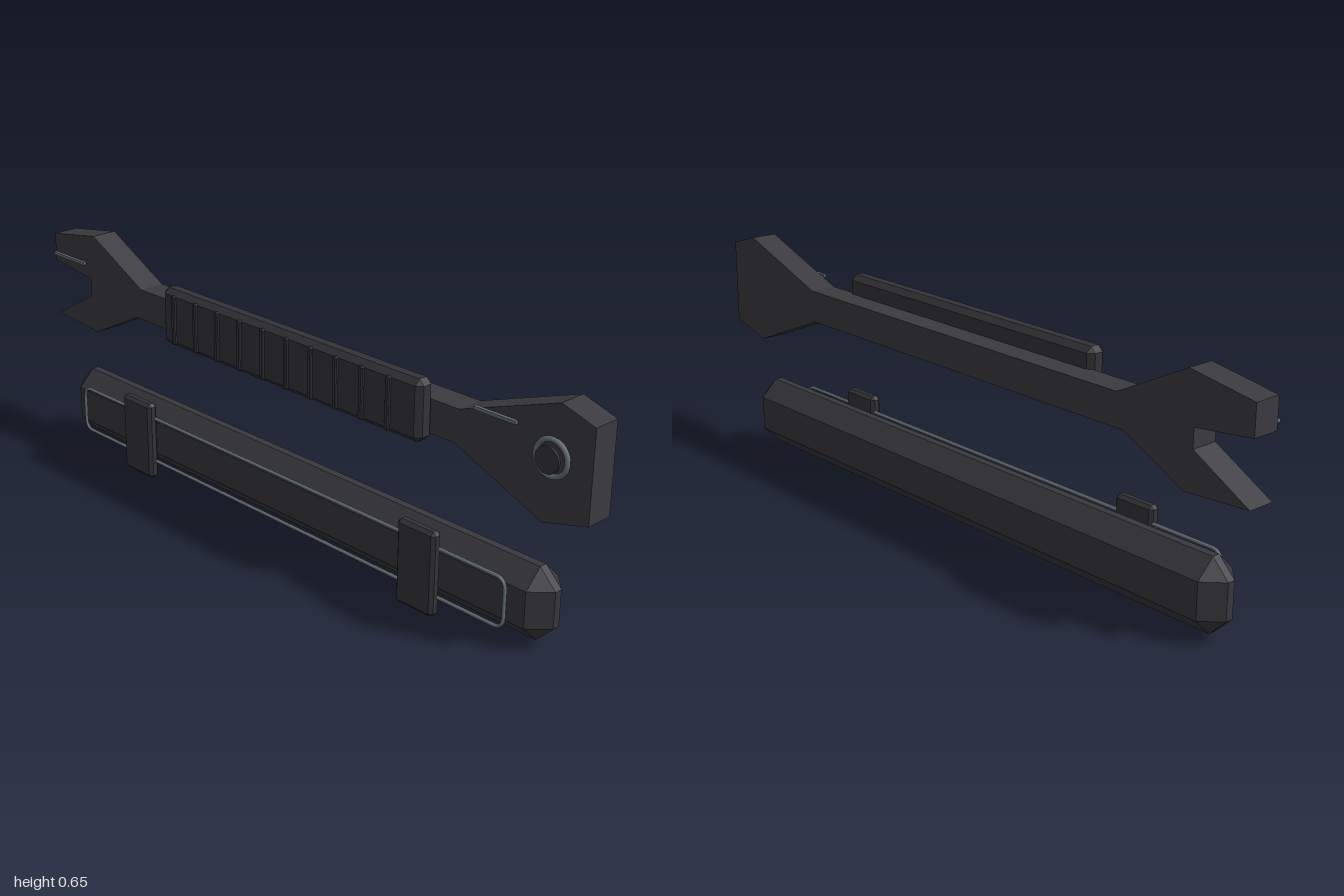
import * as THREE from 'three';
import { ConvexGeometry } from 'three/addons/geometries/ConvexGeometry.js';

const paint = (name, color) => {
  const m = new THREE.MeshStandardMaterial({ color });
  m.name = name;
  return m;
};

// Box between two corners with every edge chamfered by c
function chamferBox([x0, y0, z0], [x1, y1, z1], c) {
  const half = [(x1 - x0) / 2, (y1 - y0) / 2, (z1 - z0) / 2];
  const pts = [];
  for (const sx of [-1, 1]) for (const sy of [-1, 1]) for (const sz of [-1, 1]) {
    for (let face = 0; face < 3; face++) {
      const p = half.map((h, axis) => (axis === face ? h : h - c));
      pts.push(new THREE.Vector3(sx * p[0], sy * p[1], sz * p[2]));
    }
  }
  return new ConvexGeometry(pts).translate((x0 + x1) / 2, (y0 + y1) / 2, (z0 + z1) / 2);
}

// Closed rounded rectangle path in the plane z
function roundedLoop(x0, y0, x1, y1, z, r) {
  const v = (x, y) => new THREE.Vector3(x, y, z);
  const corners = [v(x0, y0), v(x1, y0), v(x1, y1), v(x0, y1)];
  const path = new THREE.CurvePath();
  corners.forEach((p, i) => {
    const next = corners[(i + 1) % 4], after = corners[(i + 2) % 4];
    const d = next.clone().sub(p).normalize().multiplyScalar(r);
    const e = after.clone().sub(next).normalize().multiplyScalar(r);
    const end = next.clone().sub(d);
    path.add(new THREE.LineCurve3(p.clone().add(d), end));
    path.add(new THREE.QuadraticBezierCurve3(end, next, next.clone().add(e)));
  });
  return path;
}

export function createModel() {
  const root = new THREE.Group();
  root.name = 'wrenchAndCase';
  const steel = paint('dark steel', 0x3b3a3f);
  const shell = paint('case grey', 0x38383d);
  const rubber = paint('grip black', 0x343338);
  const trim = paint('trim grey', 0x667075);

  const add = (parent, name, geometry, material) => {
    const mesh = new THREE.Mesh(geometry, material);
    mesh.name = name;
    parent.add(mesh);
    return mesh;
  };

  // Wrench: flat outline with an open jaw on one end and a solid head on the other
  const wrench = new THREE.Group();
  wrench.name = 'wrench';
  root.add(wrench);
  const outline = [
    [-1, 0.372], [-0.807, 0.36], [-0.615, 0.455], [0.6, 0.455], [0.87, 0.345],
    [1, 0.38], [1, 0.62], [0.903, 0.65], [0.61, 0.545], [-0.59, 0.545],
    [-0.807, 0.655], [-1, 0.623], [-1, 0.54], [-0.83, 0.52], [-0.83, 0.468],
  ].map(([x, y]) => new THREE.Vector2(x, y));
  const body = new THREE.ExtrudeGeometry(new THREE.Shape(outline), { depth: 0.077, bevelEnabled: false });
  add(wrench, 'wrenchBody', body.translate(0, 0, -0.057), steel);

  // Grip with raised ribs
  add(wrench, 'grip', chamferBox([-0.44, 0.437, 0.01], [0.525, 0.6, 0.065], 0.015), rubber);
  for (let i = 0; i < 10; i++) {
    const x = -0.385 + i * 0.09;
    add(wrench, 'gripRib', chamferBox([x - 0.007, 0.447, 0.06], [x + 0.007, 0.588, 0.073], 0.003), rubber);
  }

  // Pivot ring and cap on the solid head
  add(wrench, 'pivotRing', new THREE.TorusGeometry(0.045, 0.007, 8, 32), trim).position.set(0.897, 0.52, 0.035);
  const cap = add(wrench, 'pivotCap', new THREE.CylinderGeometry(0.034, 0.034, 0.006, 24), rubber);
  cap.rotation.x = Math.PI / 2;
  cap.position.set(0.897, 0.52, 0.05);

  // Thin bright edge strips
  for (const [x0, x1, y] of [[-1, -0.85, 0.563], [0.66, 0.785, 0.567]]) {
    const strip = add(wrench, 'edgeStrip', new THREE.BoxGeometry(x1 - x0, 0.009, 0.009), trim);
    strip.position.set((x0 + x1) / 2, y, 0.0245);
  }

  // Case: long chamfered bar
  const holder = new THREE.Group();
  holder.name = 'case';
  root.add(holder);
  add(holder, 'caseBody', chamferBox([-0.93, 0.018, -0.078], [0.905, 0.215, 0.042], 0.049), shell);

  // Seam line running round the front
  const loop = roundedLoop(-0.834, 0.052, 0.807, 0.186, 0.058, 0.03);
  add(holder, 'seamTrim', new THREE.TubeGeometry(loop, 400, 0.005, 6, true), trim);

  // Two clips
  for (const x of [-0.558, 0.538]) {
    add(holder, 'clip', chamferBox([x - 0.062, 0, 0.048], [x + 0.062, 0.232, 0.08], 0.009), rubber);
  }
  return root;
}
